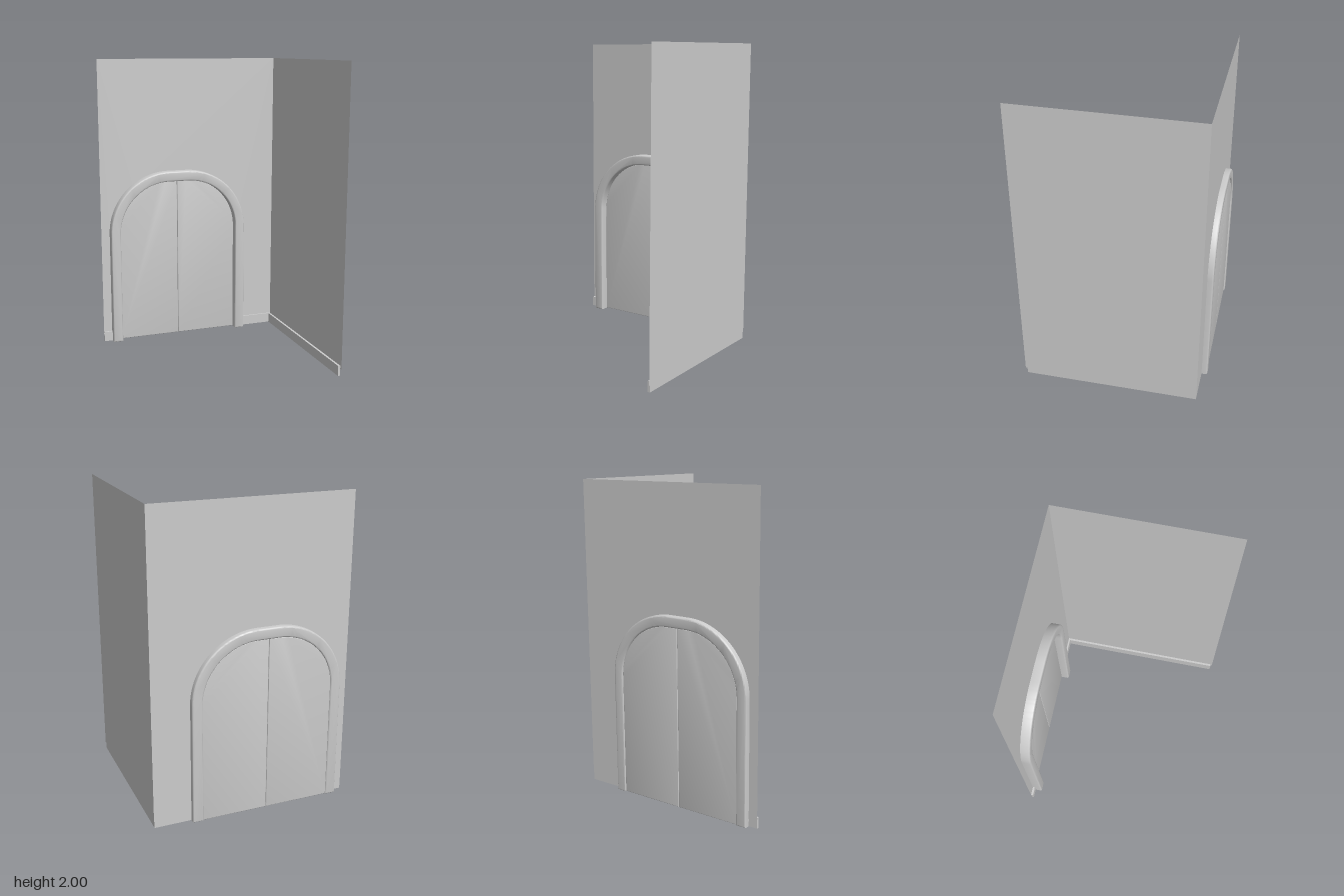
import * as THREE from 'three';
import { toCreasedNormals } from 'three/addons/utils/BufferGeometryUtils.js';

const CX = -0.094; // doorway centre line
const WALL_Z = -0.56, WALL_X = 0.648, WALL_BASE = 0.045;

const grey = new THREE.MeshStandardMaterial({ color: 0xcccccc });
const greyDouble = new THREE.MeshStandardMaterial({ color: 0xcccccc, side: THREE.DoubleSide });

function add(group, name, geometry, material = grey) {
  const mesh = new THREE.Mesh(geometry, material);
  mesh.name = name;
  group.add(mesh);
  return mesh;
}

// Right-to-left outline over a round-shouldered arch
function overArch(path, half, top, r) {
  path.lineTo(half, top - r);
  path.absarc(half - r, top - r, r, 0, Math.PI / 2, false);
  path.lineTo(r - half, top);
  path.absarc(r - half, top - r, r, Math.PI / 2, Math.PI, false);
}

// Bevelled slab between two z positions
function slab(shape, z0, z1, bevel) {
  const g = new THREE.ExtrudeGeometry(shape, {
    depth: z1 - z0 - 2 * bevel, curveSegments: 24,
    bevelEnabled: true, bevelThickness: bevel, bevelSize: bevel, bevelOffset: -bevel, bevelSegments: 3,
  });
  g.translate(CX, 0, z0 + bevel);
  return toCreasedNormals(g, 0.6);
}

function box(x0, x1, y0, y1, z0, z1) {
  return new THREE.BoxGeometry(x1 - x0, y1 - y0, z1 - z0)
    .translate((x0 + x1) / 2, (y0 + y1) / 2, (z0 + z1) / 2);
}

export function createModel() {
  const model = new THREE.Group();
  model.name = 'roomCorner';

  // Back wall: a thin sheet with the doorway cut out of its lower edge
  const left = -0.651 - CX, right = WALL_X - CX;
  const wall = new THREE.Shape();
  wall.moveTo(right, 2);
  wall.lineTo(left, 2);
  wall.lineTo(left, WALL_BASE);
  wall.lineTo(-0.46, WALL_BASE);
  const opening = new THREE.Path();
  opening.moveTo(0.46, WALL_BASE);
  overArch(opening, 0.46, 1.18, 0.39);
  opening.lineTo(-0.46, WALL_BASE);
  opening.getPoints(16).reverse().forEach((p) => wall.lineTo(p.x, p.y));
  wall.lineTo(right, WALL_BASE);
  add(model, 'backWall', new THREE.ShapeGeometry(wall).translate(CX, 0, WALL_Z), greyDouble);

  // Side wall
  const side = new THREE.PlaneGeometry(0.598 - WALL_Z, 2 - WALL_BASE);
  side.rotateY(Math.PI / 2).translate(WALL_X, (2 + WALL_BASE) / 2, (0.598 + WALL_Z) / 2);
  add(model, 'sideWall', side, greyDouble);

  // Skirting boards
  add(model, 'backSkirtingRight', box(-0.651, -0.58, 0, 0.068, -0.559, -0.544));
  add(model, 'backSkirtingLeft', box(0.39, 0.632, 0, 0.068, -0.559, -0.547));
  add(model, 'sideSkirting', box(0.63, 0.645, 0, 0.068, -0.559, 0.587));

  // Door frame
  const frame = new THREE.Shape();
  frame.moveTo(0.498, 0);
  overArch(frame, 0.498, 1.215, 0.43);
  frame.lineTo(-0.498, 0);
  frame.lineTo(-0.43, 0);
  const inner = new THREE.Path();
  inner.moveTo(0.43, 0);
  overArch(inner, 0.43, 1.145, 0.36);
  inner.lineTo(-0.43, 0);
  inner.getPoints(24).reverse().slice(1).forEach((p) => frame.lineTo(p.x, p.y));
  add(model, 'doorFrame', slab(frame, -0.598, -0.496, 0.01));

  // Pair of door leaves meeting at the centre line
  for (const s of [1, -1]) {
    const leaf = new THREE.Shape();
    leaf.moveTo(s * 0.001, 0.002);
    leaf.lineTo(s * 0.432, 0.002);
    leaf.lineTo(s * 0.432, 0.785);
    if (s > 0) leaf.absarc(0.07, 0.785, 0.362, 0, Math.PI / 2, false);
    else leaf.absarc(-0.07, 0.785, 0.362, Math.PI, Math.PI / 2, true);
    leaf.lineTo(s * 0.001, 1.147);
    add(model, s > 0 ? 'doorLeafLeft' : 'doorLeafRight', slab(leaf, -0.59, -0.553, 0.004));
  }
  return model;
}
